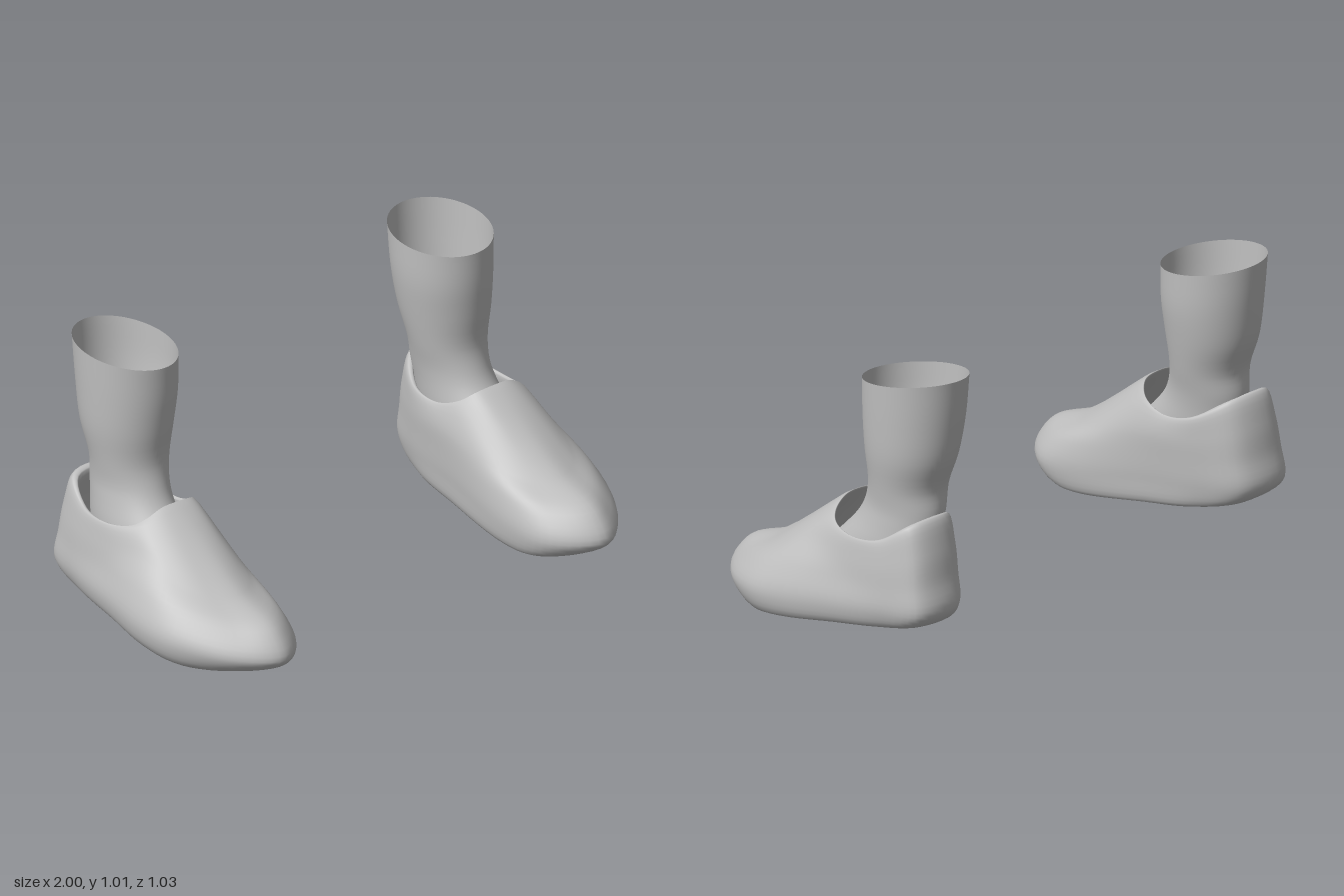
import * as THREE from 'three';

const V = (x, y, z) => new THREE.Vector3(x, y, z);
const COLS = 72, CX = 0.74, CZ = -0.02;

// Rings of the left shoe, each running toe -> outer side -> heel -> inner side
const WELT = [
  [.73, .07, .51], [.875, .08, .41], [.985, .11, .22], [1, .13, .06], [.965, .15, -.15], [.93, .17, -.36],
  [.875, .175, -.5], [.69, .175, -.497], [.605, .165, -.34], [.573, .14, -.12], [.542, .09, .2], [.58, .07, .39]];
const MID = [
  [.73, .165, .45], [.84, .165, .37], [.945, .2, .2], [.965, .24, .04], [.945, .25, -.16], [.925, .26, -.36],
  [.87, .28, -.485], [.685, .28, -.482], [.598, .26, -.34], [.566, .23, -.12], [.552, .19, .17], [.605, .16, .35]];
const UPPER = [
  [.73, .24, .28], [.82, .245, .24], [.885, .28, .14], [.91, .335, 0], [.928, .33, -.16], [.918, .345, -.35],
  [.86, .385, -.47], [.685, .385, -.467], [.592, .345, -.33], [.565, .32, -.12], [.575, .27, .1], [.64, .24, .23]];
const COLLAR = [
  [.72, .475, -.045], [.79, .47, -.05], [.85, .44, -.065], [.885, .415, -.1], [.912, .4, -.2], [.905, .418, -.33],
  [.85, .487, -.437], [.69, .487, -.437], [.6, .42, -.33], [.588, .4, -.2], [.605, .43, -.1], [.65, .465, -.055]];

// Leg and foot rings from the ground up: y, inner x, outer x, front z, back z
const LEG = [
  [.13, .64, .85, .13, -.42], [.25, .63, .865, .08, -.425], [.36, .62, .865, -.03, -.425],
  [.44, .617, .855, -.1, -.43], [.5, .61, .85, -.13, -.435], [.58, .593, .858, -.148, -.432],
  [.7, .57, .877, -.136, -.472], [.83, .552, .885, -.126, -.495], [.97, .547, .89, -.125, -.51]];

// Samples a closed smooth ring through its control points
function ring(points) {
  const curve = new THREE.CatmullRomCurve3(points.map(p => V(...p)), true);
  return Array.from({ length: COLS }, (_, c) => curve.getPoint(c / COLS));
}

// Scales a ring about the shoe's vertical axis, with a new height rule
const inset = (r, s, height) => r.map(p => {
  const q = V(CX + (p.x - CX) * s, 0, CZ + (p.z - CZ) * s);
  q.y = height(q, p);
  return q;
});

// Height of the underside, rising to the heel, the toe tip and the outer edge
function soleHeight(q) {
  const t = 0.25 - q.z;
  const rise = t > 0 ? 0.16 * t * t / (t + 0.05) : 0.4 * t * t;
  return rise + 0.06 * Math.max(0, q.x - 0.58);
}

// Smooths across the rings and skins them; side = -1 mirrors the part
function loft(rings, steps, side) {
  const pos = [], index = [];
  const curves = rings[0].map((_, c) => new THREE.CatmullRomCurve3(rings.map(r => r[c]), false, 'centripetal'));
  const last = (rings.length - 1) * steps;
  for (let r = 0; r <= last; r++) {
    for (const curve of curves) {
      const p = curve.getPoint(r / last);
      pos.push(p.x * side, p.y, p.z);
    }
  }
  for (let r = 0; r < last; r++) {
    for (let c = 0; c < COLS; c++) {
      const n = (c + 1) % COLS;
      const a = r * COLS + c, b = r * COLS + n, d = a + COLS, e = b + COLS;
      if (side > 0) index.push(a, b, d, b, e, d);
      else index.push(a, d, b, b, d, e);
    }
  }
  const geo = new THREE.BufferGeometry();
  geo.setAttribute('position', new THREE.Float32BufferAttribute(pos, 3));
  geo.setIndex(index);
  geo.computeVertexNormals();
  return geo;
}

// Sole, upper, rolled collar and hollow lining in one continuous skin
function shoeGeometry(side) {
  const [welt, mid, upper, collar] = [WELT, MID, UPPER, COLLAR].map(ring);
  return loft([
    inset(welt, 0, soleHeight),
    inset(welt, 0.55, soleHeight),
    inset(welt, 0.9, soleHeight),
    welt, mid, upper, collar,
    inset(collar, 0.94, (q, p) => p.y - 0.008),
    inset(upper, 0.93, (q, p) => p.y - 0.02),
    inset(mid, 0.92, (q, p) => p.y - 0.03),
    inset(mid, 0, () => 0.1),
  ], 5, side);
}

// Hollow leg with a slanted open top and a closed foot inside the shoe
function legGeometry(side) {
  const rings = LEG.map(([y, xi, xo, zf, zb]) => {
    const slant = Math.max(0, (y - 0.7) / 0.27);
    return Array.from({ length: COLS }, (_, c) => {
      const a = c / COLS * Math.PI * 2, s = Math.sin(a), k = Math.cos(a);
      return V((xi + xo) / 2 + s * (xo - xi) / 2,
        y + slant * (0.01 * s - 0.03 * k),
        (zf + zb) / 2 + k * (zf - zb) / 2);
    });
  });
  rings.unshift(rings[0].map(() => V(CX, LEG[0][0], -0.2)));
  return loft(rings, 4, side);
}

export function createModel() {
  const grey = new THREE.MeshStandardMaterial({ color: 0xbfbfbf, side: THREE.DoubleSide });
  grey.name = 'plain grey';
  const model = new THREE.Group();
  model.name = 'pairOfShoes';
  for (const [name, side] of [['left', 1], ['right', -1]]) {
    const group = new THREE.Group();
    group.name = name + 'Foot';
    const shoe = new THREE.Mesh(shoeGeometry(side), grey);
    shoe.name = name + 'Shoe';
    const leg = new THREE.Mesh(legGeometry(side), grey);
    leg.name = name + 'Leg';
    group.add(shoe, leg);
    model.add(group);
  }
  return model;
}
